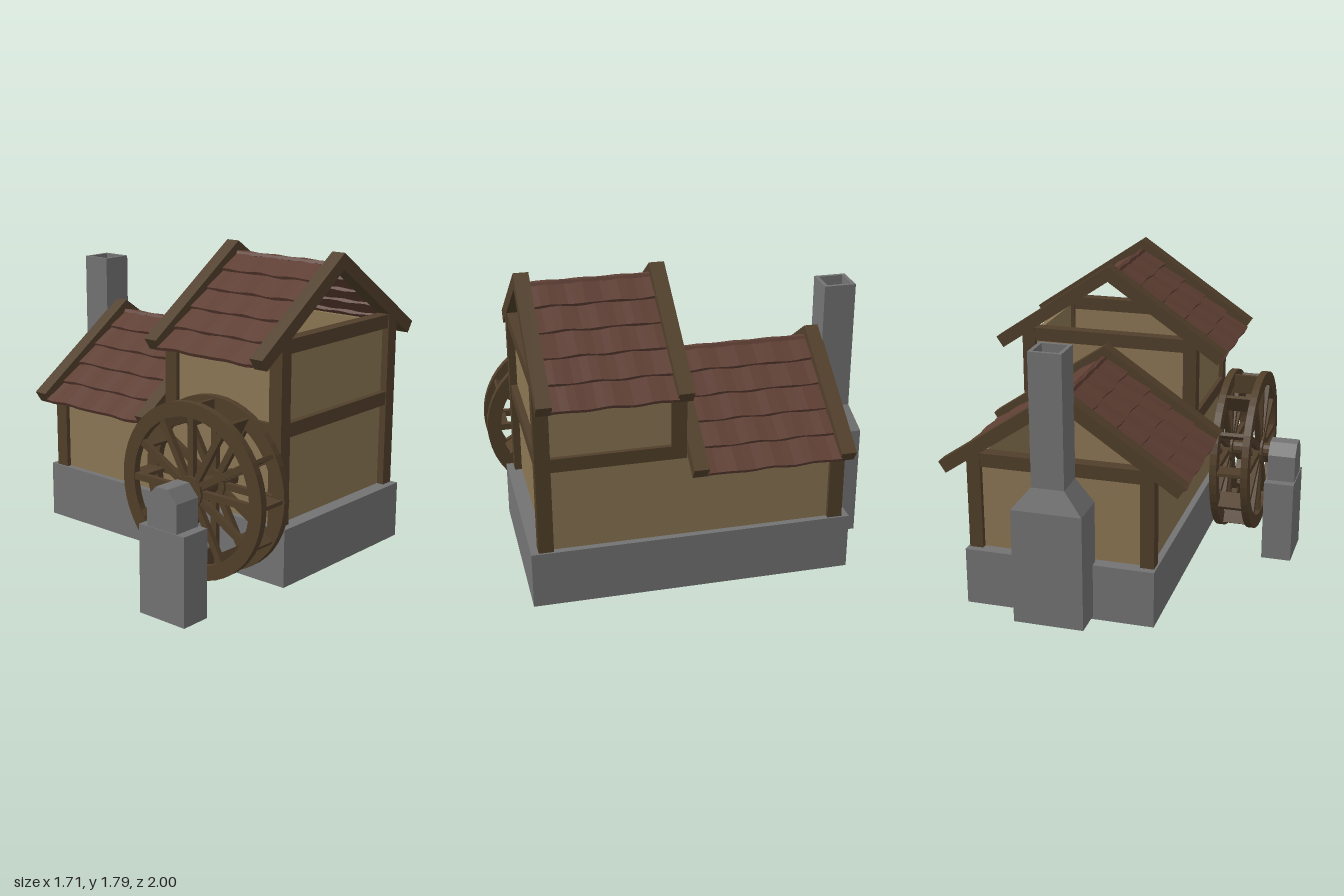
import * as THREE from 'three';

const mat = (color) => new THREE.MeshStandardMaterial({ color, flatShading: true, side: THREE.DoubleSide });
const CX = 0.18;      // centre line of the house
const PITCH = 0.597;  // roof angle

export function createModel() {
  const model = new THREE.Group();
  const wood = mat(0x513f2a), plaster = mat(0x8b7653), stone = mat(0x737373), tile = mat(0x5e3e33);

  const add = (parent, name, geo, material) => {
    const m = new THREE.Mesh(geo, material);
    m.name = name;
    parent.add(m);
    return m;
  };
  // Box given by its two extreme corners
  const box = (parent, name, material, [x0, x1], [y0, y1], [z0, z1]) => {
    const m = add(parent, name, new THREE.BoxGeometry(x1 - x0, y1 - y0, z1 - z0), material);
    m.position.set((x0 + x1) / 2, (y0 + y1) / 2, (z0 + z1) / 2);
    return m;
  };
  const group = (name, parent = model) => {
    const g = new THREE.Group();
    g.name = name;
    parent.add(g);
    return g;
  };

  // Stone foundation
  box(model, 'foundation', stone, [-0.34, 0.70], [0.12, 0.435], [-0.83, 0.91]);

  // Thin plaster walls, open at the top
  const walls = group('walls');
  for (const [z, top] of [[0.83, 1.37], [0.135, 1.37], [-0.735, 0.94]])
    box(walls, 'crossWall', plaster, [-0.305, 0.665], [0.43, top], [z - 0.025, z]);
  for (const x of [-0.305, 0.64]) {
    box(walls, 'upperSideWall', plaster, [x, x + 0.025], [0.43, 1.36], [0.11, 0.83]);
    box(walls, 'lowerSideWall', plaster, [x, x + 0.025], [0.43, 0.93], [-0.755, 0.11]);
  }

  // Timber posts and beams
  const frame = group('timberFrame');
  for (const x of [-0.33, 0.615]) {
    const w = [x, x + 0.075];
    box(frame, 'frontPost', wood, w, [0.43, 1.41], [0.79, 0.87]);
    box(frame, 'middlePost', wood, w, [0.9, 1.41], [0.08, 0.16]);
    box(frame, 'backPost', wood, w, [0.43, 0.975], [-0.79, -0.71]);
    box(frame, 'sideBeam', wood, w, [0.9, 0.975], [0.16, 0.79]);
  }
  for (const [y, z] of [[0.9, 0.79], [1.335, 0.79], [1.335, 0.08], [0.9, -0.79]])
    box(frame, 'tieBeam', wood, [-0.255, 0.615], [y, y + 0.075], [z + 0.005, z + 0.075]);

  // Roofs: chevron end beams with wavy overlapping tile courses between them
  const chevron = new THREE.Shape([
    [0, 0], [0.67, -0.455], [0.63, -0.515], [0, -0.087], [-0.63, -0.515], [-0.67, -0.455],
  ].map(([x, y]) => new THREE.Vector2(x, y)));
  const courseGeometry = (depth, seed) => {
    const geo = new THREE.BoxGeometry(0.172, 0.02, depth, 1, 1, 14);
    const p = geo.attributes.position;
    for (let i = 0; i < p.count; i++) {
      const wave = Math.sin(p.getZ(i) * 32 + seed * 1.9);
      p.setY(i, p.getY(i) + 0.003 * wave);
      if (p.getX(i) > 0) p.setX(i, p.getX(i) + 0.004 * Math.sin(p.getZ(i) * 23 + seed));
    }
    geo.computeVertexNormals();
    return geo;
  };
  const roof = (name, ridgeY, zBack, zFront) => {
    const g = group(name);
    g.position.set(CX, ridgeY, (zBack + zFront) / 2);
    const half = (zFront - zBack) / 2;
    for (const z of [-half, half - 0.08]) {
      const geo = new THREE.ExtrudeGeometry(chevron, { depth: 0.08, bevelEnabled: false });
      add(g, 'gableBeam', geo, wood).position.z = z;
    }
    for (const turn of [0, Math.PI]) {
      const side = group('roofSide', g);
      side.rotation.y = turn;
      const slope = group('tileSlope', side);
      slope.position.y = -0.052;
      slope.rotation.z = -PITCH;
      for (let i = 0; i < 5; i++) {
        const course = add(slope, 'tileCourse', courseGeometry(2 * half - 0.15, i + turn), tile);
        course.position.set(0.079 + i * 0.156, -0.01, 0);
        course.rotation.z = 0.1;
      }
    }
  };
  roof('upperRoof', 1.795, 0.08, 0.87);
  roof('lowerRoof', 1.36, -0.79, 0.08);

  // Chimney: rectangular sections lofted up the outside and down the flue
  const sections = [ // x half width, y, back z, front z
    [0.16, 0.14, -0.97, -0.815], [0.19, 0.14, -1.0, -0.785], [0.19, 0.775, -1.0, -0.785],
    [0.088, 0.895, -0.96, -0.785], [0.088, 1.61, -0.96, -0.785],
    [0.068, 1.61, -0.94, -0.805], [0.068, 0.88, -0.94, -0.805], [0.16, 0.765, -0.97, -0.815],
  ];
  const pos = [], idx = [];
  sections.forEach(([w, y, zb, zf], s) => {
    pos.push(CX - w, y, zf, CX + w, y, zf, CX + w, y, zb, CX - w, y, zb);
    const n = (s + 1) % sections.length;
    for (let k = 0; k < 4; k++) {
      const a = s * 4 + k, b = s * 4 + (k + 1) % 4, c = n * 4 + (k + 1) % 4, d = n * 4 + k;
      idx.push(a, b, c, a, c, d);
    }
  });
  const chimney = new THREE.BufferGeometry();
  chimney.setAttribute('position', new THREE.Float32BufferAttribute(pos, 3));
  chimney.setIndex(idx);
  chimney.computeVertexNormals();
  add(model, 'chimney', chimney, stone);

  // Stone pier with a chamfered bearing block
  box(model, 'pier', stone, [-0.855, -0.68], [0, 0.485], [0.38, 0.685]);
  const block = new THREE.Shape([
    [-0.1, 0.48], [0.1, 0.48], [0.1, 0.64], [0.04, 0.705], [-0.04, 0.705], [-0.1, 0.64],
  ].map(([x, y]) => new THREE.Vector2(x, y)));
  const bearing = add(model, 'bearingBlock',
    new THREE.ExtrudeGeometry(block, { depth: 0.16, bevelEnabled: false }), stone);
  bearing.rotation.y = Math.PI / 2;
  bearing.position.set(-0.85, 0, 0.532);

  // Water wheel, turning about the x axis
  const wheel = group('waterWheel');
  wheel.position.set(-0.53, 0.633, 0.53);
  const axle = add(wheel, 'axle', new THREE.CylinderGeometry(0.046, 0.046, 0.39, 12), wood);
  axle.rotation.z = Math.PI / 2;
  axle.position.x = 0.03;
  const ring = new THREE.Shape().absarc(0, 0, 0.468, 0, Math.PI * 2, false);
  ring.holes.push(new THREE.Path().absarc(0, 0, 0.39, 0, Math.PI * 2, true));
  for (const x of [-0.09, 0.09]) {
    const rim = add(wheel, 'rim',
      new THREE.ExtrudeGeometry(ring, { depth: 0.04, bevelEnabled: false, curveSegments: 24 }), wood);
    rim.rotation.y = Math.PI / 2;
    rim.position.x = x - 0.02;
    const hub = add(wheel, 'hub', new THREE.CylinderGeometry(0.085, 0.085, 0.055, 12), wood);
    hub.rotation.z = Math.PI / 2;
    hub.position.x = x;
  }
  for (let i = 0; i < 12; i++) {
    const arm = group('wheelArm', wheel);
    arm.rotation.x = i * Math.PI / 6;
    for (const x of [-0.09, 0.09])
      box(arm, 'spoke', wood, [x - 0.015, x + 0.015], [0.06, 0.4], [-0.018, 0.018]);
    box(arm, 'paddle', wood, [-0.09, 0.09], [0.345, 0.455], [-0.01, 0.01]);
  }
  return model;
}
